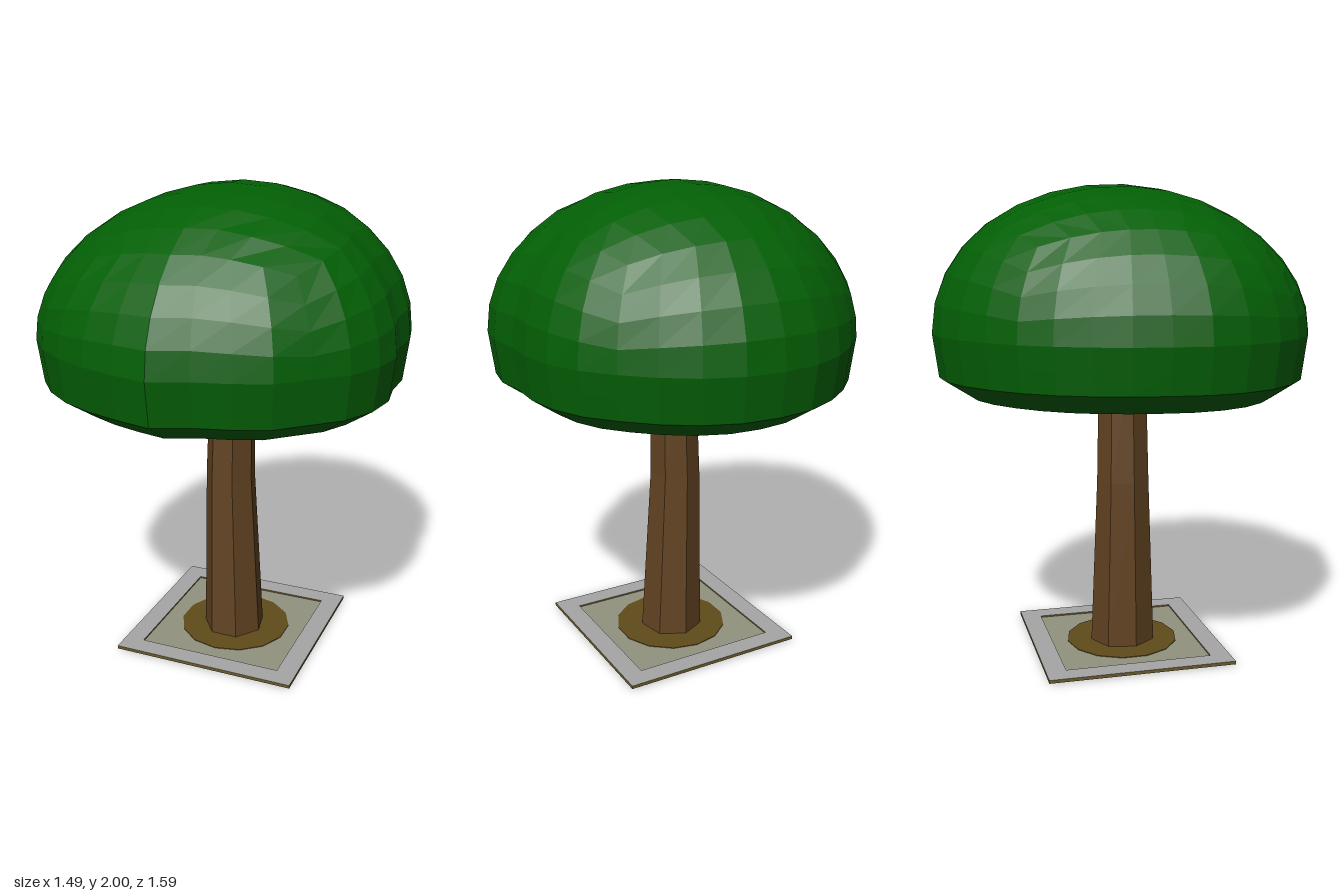
import * as THREE from 'three';

const mat = (color, side = THREE.FrontSide) =>
  new THREE.MeshStandardMaterial({ color, flatShading: true, side });

function addMesh(group, name, geometry, material) {
  const mesh = new THREE.Mesh(geometry, material);
  mesh.name = name;
  group.add(mesh);
  return mesh;
}

// Canopy radius at the equator, every 15 degrees from +x towards +z
const OUTLINE = [
  0.725, 0.77, 0.785, 0.757, 0.77, 0.725, 0.79, 0.765, 0.78, 0.79, 0.795, 0.772,
  0.738, 0.728, 0.737, 0.75, 0.765, 0.795, 0.8, 0.803, 0.78, 0.767, 0.77, 0.75,
];

// Lower half: [step, radius factor, height]; steps 0-1 go down the wall, 1-2 in along the hollow
const LOWER = [[0, 1, 1.4], [0.5, 0.97, 1.22], [1, 0.81, 1.137], [1.25, 0.62, 1.205], [1.5, 0.42, 1.23], [2, 0, 1.24]];

function outlineAt(angle) {
  const n = OUTLINE.length;
  const u = ((angle / (2 * Math.PI)) * n + n) % n;
  const i = Math.floor(u);
  return THREE.MathUtils.lerp(OUTLINE[i % n], OUTLINE[(i + 1) % n], u - i);
}

function lowerAt(step) {
  let i = 0;
  while (i < LOWER.length - 2 && step > LOWER[i + 1][0]) i++;
  const [a, r0, y0] = LOWER[i];
  const [b, r1, y1] = LOWER[i + 1];
  const t = (step - a) / (b - a);
  return [THREE.MathUtils.lerp(r0, r1, t), THREE.MathUtils.lerp(y0, y1, t)];
}

// Subdivided cube rounded into a dome with a hollowed underside
function canopyGeometry() {
  const geo = new THREE.BoxGeometry(2, 2, 2, 8, 8, 8);
  const pos = geo.attributes.position;
  const p = new THREE.Vector3();
  const d = new THREE.Vector3();
  const even = (v) => Math.tan((v * Math.PI) / 4);
  for (let i = 0; i < pos.count; i++) {
    p.fromBufferAttribute(pos, i);
    d.set(even(p.x), even(p.y), even(p.z)).normalize();
    const angle = Math.atan2(d.z, d.x);
    let r = Math.hypot(d.x, d.z);
    // the crown leans slightly to the left and back
    let y = Math.min(2, 1.4 + d.y * (0.6 + 0.02 * d.x - 0.03 * d.z));
    if (p.y < -1e-6) [r, y] = lowerAt(1 - p.y - Math.max(Math.abs(p.x), Math.abs(p.z)));
    r *= outlineAt(angle);
    pos.setXYZ(i, r * Math.cos(angle), y, r * Math.sin(angle));
  }
  geo.computeVertexNormals();
  return geo;
}

// Seven-sided trunk lofted through slightly shifting rings
function trunkGeometry() {
  const rings = [[0, 0.14, 0.027, 0.003], [0.75, 0.112, 0.007, 0], [1.3, 0.1, 0.017, 0]]; // y, radius, x, z
  const geo = new THREE.CylinderGeometry(1, 1, 2, 7, 2);
  const pos = geo.attributes.position;
  const turn = THREE.MathUtils.degToRad(13.3);
  for (let i = 0; i < pos.count; i++) {
    const [y, r, cx, cz] = rings[Math.round(pos.getY(i)) + 1];
    const x = pos.getX(i), z = pos.getZ(i);
    // the cylinder's first corner lies on +z
    const a = Math.atan2(z, x) - Math.PI / 2 + turn;
    const k = r * Math.hypot(x, z);
    pos.setXYZ(i, cx + 0.96 * k * Math.cos(a), y, cz + 1.02 * k * Math.sin(a));
  }
  geo.computeVertexNormals();
  return geo;
}

// Square kerb with a square opening
function kerbGeometry() {
  const square = (path, h) => path.moveTo(-h, -h).lineTo(h, -h).lineTo(h, h).lineTo(-h, h).closePath();
  const shape = square(new THREE.Shape(), 0.4);
  shape.holes.push(square(new THREE.Path(), 0.315));
  return new THREE.ExtrudeGeometry(shape, { depth: 0.014, bevelEnabled: false })
    .rotateX(-Math.PI / 2).translate(0.03, 0.005, 0);
}

export function createModel() {
  const tree = new THREE.Group();
  tree.name = 'tree';

  addMesh(tree, 'canopy', canopyGeometry(), mat(0x035f05, THREE.DoubleSide));
  addMesh(tree, 'trunk', trunkGeometry(), mat(0x624322));

  // Planter set in the ground
  const planter = new THREE.Group();
  planter.name = 'planter';
  addMesh(planter, 'kerb', kerbGeometry(), [mat(0xa6a6a6), mat(0x6b5a2c)]);
  addMesh(planter, 'bed', new THREE.BoxGeometry(0.63, 0.004, 0.63), mat(0x929280)).position.set(0.03, 0.01, 0);
  addMesh(planter, 'soil', new THREE.CylinderGeometry(0.245, 0.245, 0.01, 14), mat(0x604c1a)).position.set(0.03, 0.01, 0);
  tree.add(planter);

  return tree;
}
